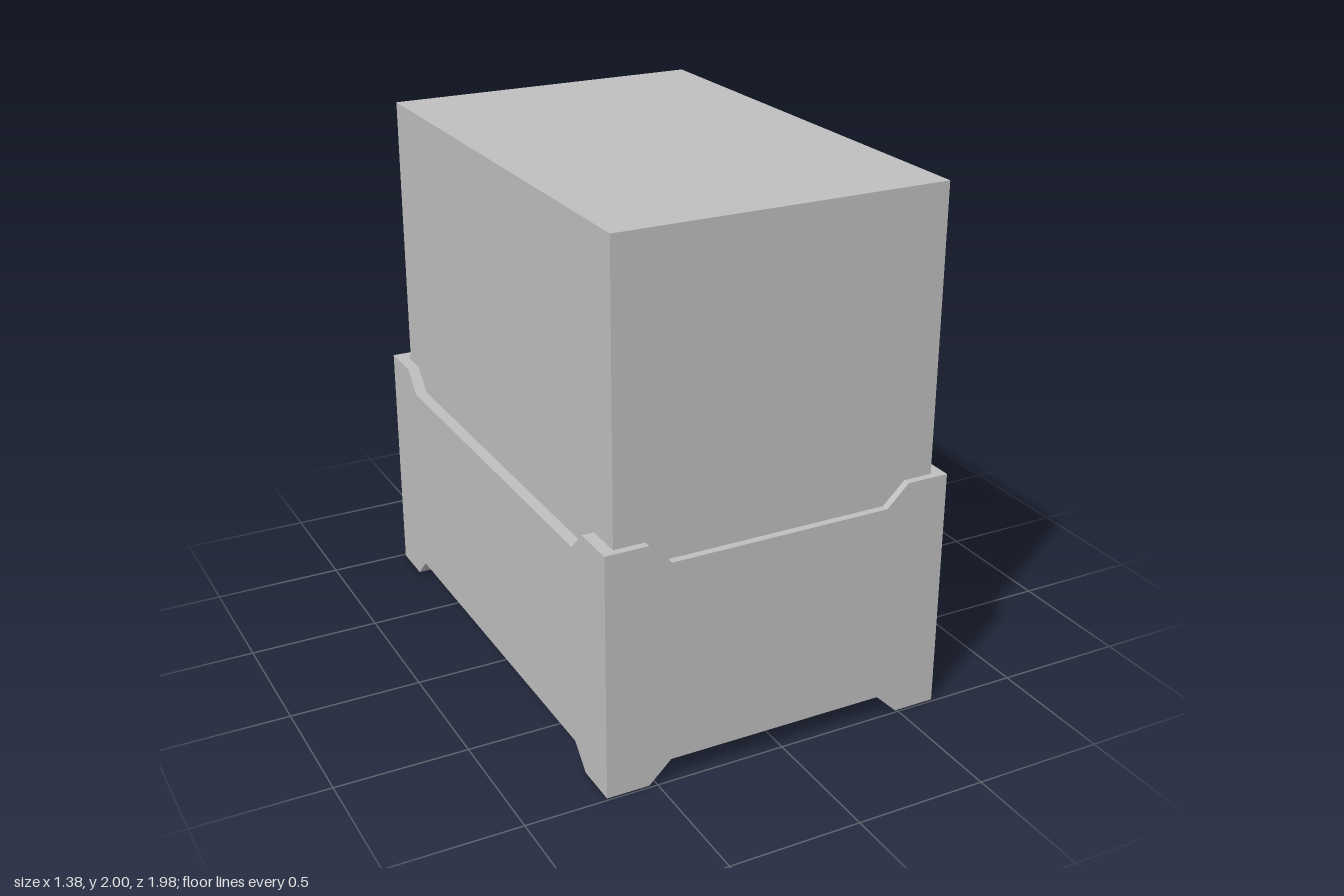
import * as THREE from 'three';

export function createModel() {
  const model = new THREE.Group();
  model.name = 'boxInTray';
  const grey = new THREE.MeshStandardMaterial({ color: 0xc0c0c0 });
  grey.name = 'light grey';

  const X0 = -0.69, X1 = 0.655, Z = 0.99, H = 0.93, WALL = 0.048, STEP = 0.082;
  const CX = (X0 + X1) / 2, HX = (X1 - X0) / 2;

  const add = (name, geometry, x, y, z) => {
    const mesh = new THREE.Mesh(geometry, grey);
    mesh.name = name;
    mesh.position.set(x, y, z);
    model.add(mesh);
    return mesh;
  };

  // Wall with a shallow sloped notch along its top and bottom edges
  const wall = (half, outer, inner) => {
    const shape = new THREE.Shape([
      [-half, 0], [-outer, 0], [-inner, STEP], [inner, STEP], [outer, 0], [half, 0],
      [half, H], [outer, H], [inner, H - STEP], [-inner, H - STEP], [-outer, H], [-half, H],
    ].map(([x, y]) => new THREE.Vector2(x, y)));
    return new THREE.ExtrudeGeometry(shape, { depth: WALL, bevelEnabled: false })
      .translate(0, 0, -WALL / 2);
  };

  // Tray walls: front and back span the full width, sides fit between them
  const endWall = wall(HX, 0.51, 0.425);
  const sideWall = wall(Z - WALL, 0.82, 0.738).rotateY(Math.PI / 2);
  add('trayFront', endWall, CX, 0, Z - WALL / 2);
  add('trayBack', endWall, CX, 0, -Z + WALL / 2);
  add('trayLeft', sideWall, X1 - WALL / 2, 0, 0);
  add('trayRight', sideWall, X0 + WALL / 2, 0, 0);

  // Raised floor of the tray
  add('trayFloor', new THREE.BoxGeometry(2 * HX - WALL, 0.05, 2 * Z - WALL), CX, 0.158, 0);

  // Tall box standing in the tray, with a narrow gap behind it
  const base = 0.17;
  add('innerBox', new THREE.BoxGeometry(1.25, 2 - base, 1.87), -0.02, (2 + base) / 2, 0.027);

  // Side panel with slightly rounded corners
  const w = 0.64, h = 0.247, r = 0.015;
  const plate = new THREE.Shape();
  plate.moveTo(-w + r, -h);
  plate.absarc(w - r, -h + r, r, -Math.PI / 2, 0);
  plate.absarc(w - r, h - r, r, 0, Math.PI / 2);
  plate.absarc(-w + r, h - r, r, Math.PI / 2, Math.PI);
  plate.absarc(-w + r, -h + r, r, Math.PI, Math.PI * 1.5);
  const plateGeometry = new THREE.ExtrudeGeometry(plate, { depth: 0.04, bevelEnabled: false, curveSegments: 4 });
  add('sidePanel', plateGeometry.rotateY(Math.PI / 2), X1 - 0.005, 0.507, 0.048);

  return model;
}
